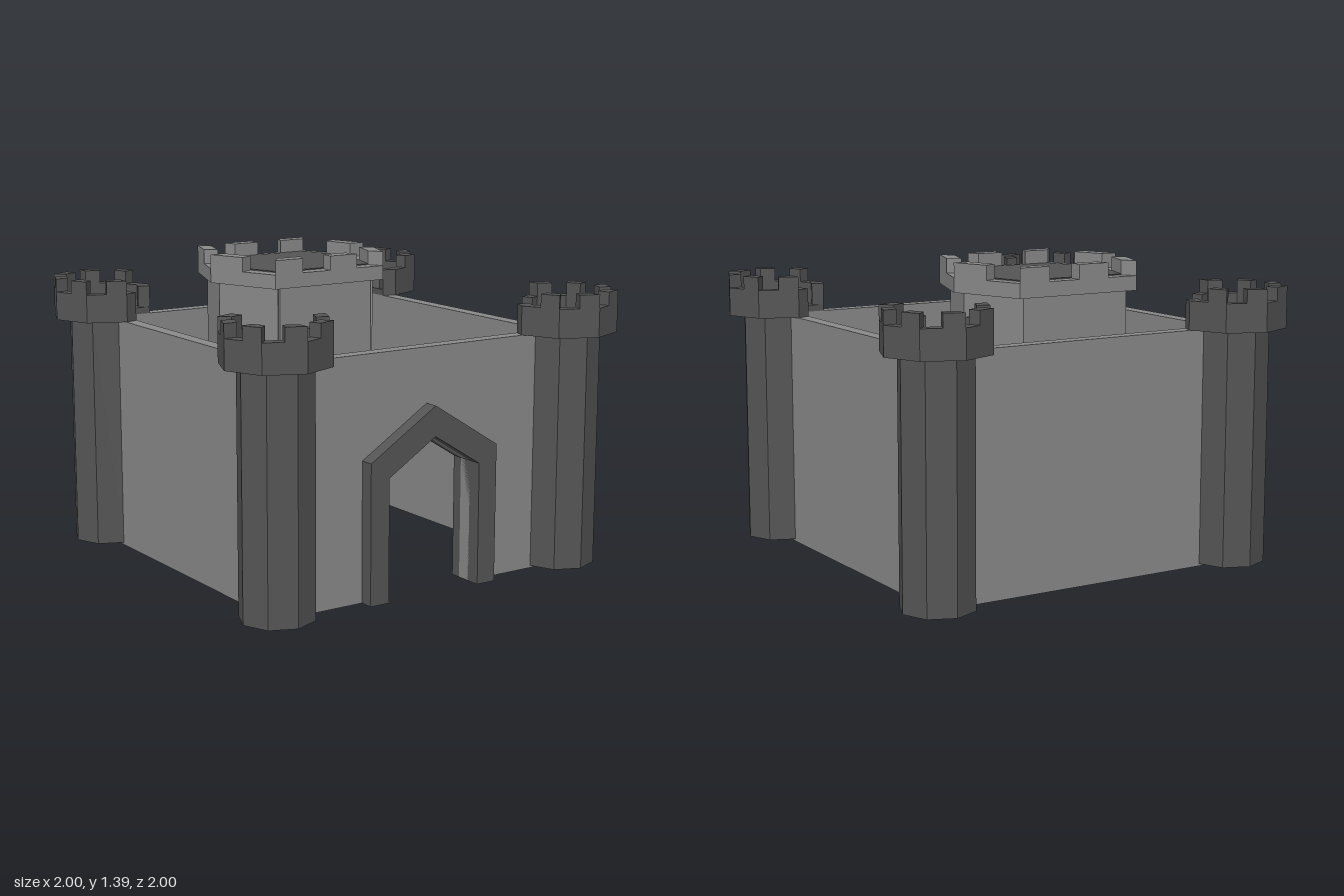
import * as THREE from 'three';

const stone = new THREE.MeshStandardMaterial({ color: 0x8a8a8a, flatShading: true, side: THREE.DoubleSide });
const darkStone = new THREE.MeshStandardMaterial({ color: 0x555555, flatShading: true, side: THREE.DoubleSide });

const shapeOf = (pts) => new THREE.Shape(pts.map(([x, y]) => new THREE.Vector2(x, y)));

function addMesh(parent, name, geometry, material) {
  const mesh = new THREE.Mesh(geometry, material);
  mesh.name = name;
  parent.add(mesh);
  return mesh;
}

// Upright prism over a plan outline; plan points are [x, -z], counter-clockwise
function prism(plan, y0, y1) {
  const g = new THREE.ExtrudeGeometry(shapeOf(plan), { depth: y1 - y0, bevelEnabled: false });
  return g.rotateX(-Math.PI / 2).translate(0, y0, 0);
}

// Slab over a front elevation, from z0 to z1
function slab(elevation, z0, z1) {
  const g = new THREE.ExtrudeGeometry(shapeOf(elevation), { depth: z1 - z0, bevelEnabled: false });
  return g.translate(0, 0, z0);
}

const mix = (a, b, t) => [a[0] + (b[0] - a[0]) * t, a[1] + (b[1] - a[1]) * t];

// One merlon on the rim between matching outer and inner edges
function merlon(outer, inner, i, t0, t1, y0, y1) {
  const j = (i + 1) % outer.length;
  return prism([
    mix(outer[i], outer[j], t0), mix(outer[i], outer[j], t1),
    mix(inner[i], inner[j], t1), mix(inner[i], inner[j], t0),
  ], y0, y1);
}

// Pointed opening: half width, shoulder height, apex height
const pointed = (w, shoulder, apex) => [[-w, 0], [-w, shoulder], [0, apex], [w, shoulder], [w, 0]];

// Rectangular wall elevation with a pointed opening cut up from the ground
const wallWithDoor = (x0, x1, height, door) => [[x0, 0], ...door, [x1, 0], [x1, height], [x0, height]];

// Arch frame: outer outline joined to the inner outline
const archFrame = (outer, inner) => [...outer, ...[...inner].reverse()];

// Seven octagon corners plus the clipped ends next to the courtyard
function towerRim(r, clip) {
  const pts = [[clip, r - clip * 0.414]];
  for (let k = 2; k <= 8; k++) {
    const a = (k * Math.PI) / 4;
    pts.push([r * Math.cos(a), r * Math.sin(a)]);
  }
  pts.push([r - clip * 0.414, clip]);
  return pts;
}

function createTower() {
  const tower = new THREE.Group();
  tower.name = 'cornerTower';
  const plan = (r, c) => [...towerRim(r, c), [0.115, c], [c, 0.115]];
  addMesh(tower, 'towerShaft', prism(plan(0.165, 0.055), 0.01, 1.08), darkStone);
  addMesh(tower, 'towerFloor', prism(plan(0.24, 0.06), 1.08, 1.11), darkStone);

  // Parapet, open towards the courtyard
  const outer = towerRim(0.24, 0.06);
  const inner = outer.map(([x, y]) => [x * 0.75, y * 0.75]);
  addMesh(tower, 'towerParapet', prism([...outer, ...[...inner].reverse()], 1.11, 1.21), darkStone);
  for (let i = 1; i <= 6; i++) {
    addMesh(tower, 'towerMerlon', merlon(outer, inner, i, 0.5, 1, 1.21, 1.27), darkStone);
  }
  return tower;
}

function createKeep() {
  const keep = new THREE.Group();
  keep.name = 'keep';

  // Hollow shaft with a door in its front side
  const shaft = [[0.255, 0.005], [0.37, 0.32], [0.26, 0.63], [-0.27, 0.63], [-0.385, 0.32], [-0.265, 0.005]];
  const inside = shaft.map(([x, y]) => [x * 0.92, 0.32 + (y - 0.32) * 0.92]);
  addMesh(keep, 'keepWalls', prism([...shaft, ...[...inside].reverse()], 0, 1.26), stone);
  const door = pointed(0.145, 0.345, 0.435);
  addMesh(keep, 'keepFrontWall', slab(wallWithDoor(-0.255, 0.245, 1.26, door), -0.03, -0.005), stone);
  addMesh(keep, 'keepDoorFrame', slab(archFrame(pointed(0.205, 0.39, 0.52), door), -0.06, 0.035), darkStone);

  // Overhanging head, roof and battlements
  const outer = [[-0.3, -0.03], [0.29, -0.03], [0.42, 0.32], [0.3, 0.665], [-0.3, 0.665], [-0.43, 0.32]];
  const inner = [[-0.25, 0.035], [0.25, 0.035], [0.345, 0.32], [0.26, 0.605], [-0.26, 0.605], [-0.355, 0.32]];
  addMesh(keep, 'keepHead', prism(outer, 1.26, 1.325), stone);
  addMesh(keep, 'keepRoof', prism(inner, 1.3, 1.33), darkStone);
  outer.forEach((_, i) => {
    const count = i % 3 === 0 ? 2 : 1; // the long front and back carry two merlons
    for (let k = 0; k < count; k++) {
      addMesh(keep, 'keepMerlon',
        merlon(outer, inner, i, k / count, (k + 0.5) / count, 1.325, 1.39), stone);
    }
  });
  return keep;
}

export function createModel() {
  const castle = new THREE.Group();
  castle.name = 'castle';

  // Curtain walls
  const gate = pointed(0.24, 0.55, 0.7);
  addMesh(castle, 'frontWall', slab(wallWithDoor(-0.765, 0.765, 1.08, gate), 0.7, 0.765), stone);
  addMesh(castle, 'backWall', new THREE.BoxGeometry(1.53, 1.08, 0.065), stone).position.set(0, 0.54, -0.7325);
  for (const side of [-1, 1]) {
    addMesh(castle, side > 0 ? 'leftWall' : 'rightWall', new THREE.BoxGeometry(0.065, 1.08, 1.4), stone)
      .position.set(side * 0.7325, 0.54, 0);
  }
  addMesh(castle, 'gateFrame', slab(archFrame(pointed(0.335, 0.625, 0.835), gate), 0.65, 0.83), darkStone);

  // Corner towers, turned so each opens to the courtyard
  [[-1, 1], [1, 1], [1, -1], [-1, -1]].forEach(([sx, sz], i) => {
    const tower = createTower();
    tower.position.set(sx * 0.76, 0, sz * 0.76);
    tower.rotation.y = (i * Math.PI) / 2;
    castle.add(tower);
  });

  castle.add(createKeep());
  return castle;
}
